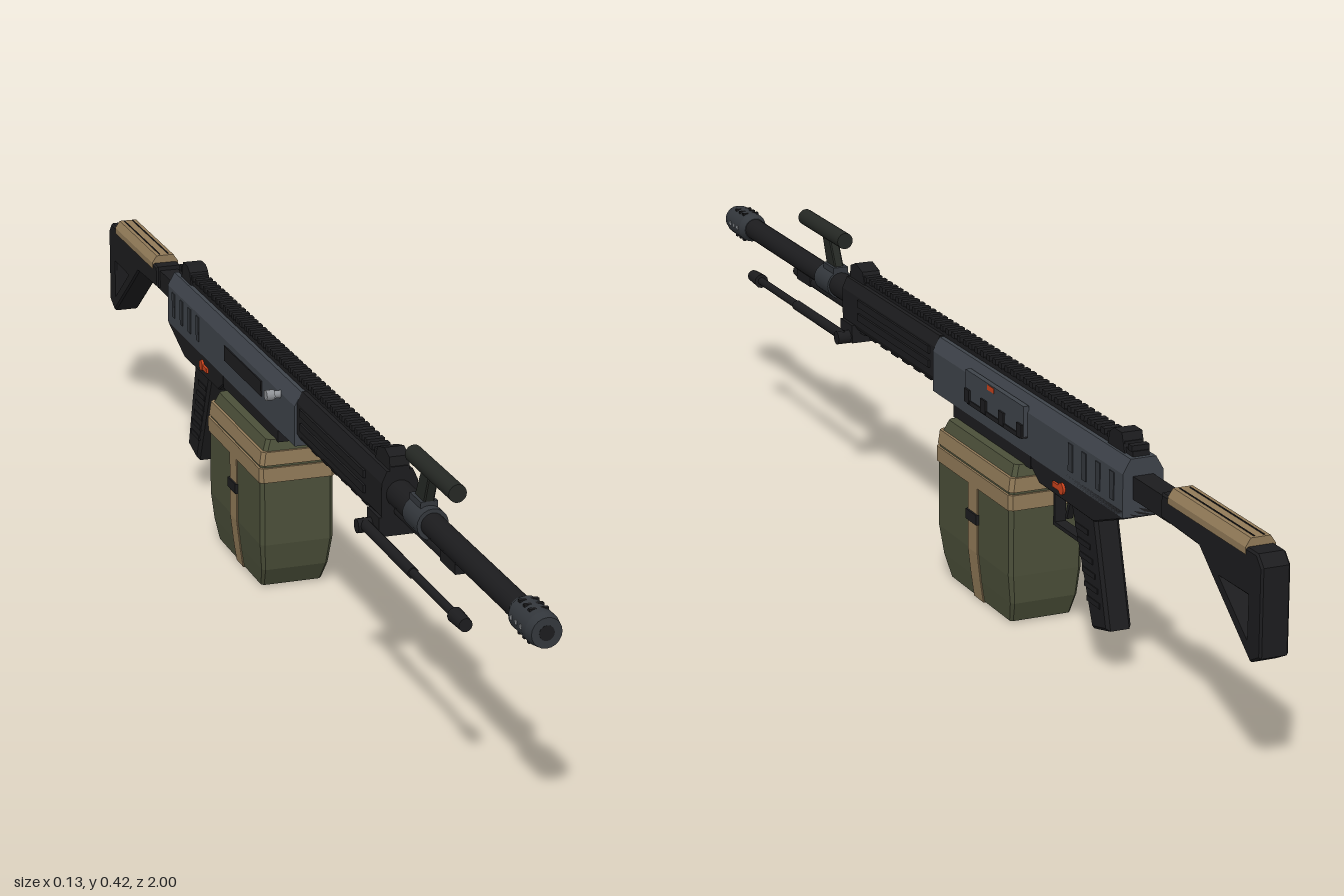
import * as THREE from 'three';

const mat = (name, color) => Object.assign(new THREE.MeshStandardMaterial({ color }), { name });
const V = (a) => new THREE.Vector3(...a);

export function createModel() {
  const black = mat('black polymer', 0x1c1c1e);
  const grey = mat('grey receiver', 0x3e434a);
  const steel = mat('dark steel', 0x33373c);
  const olive = mat('olive fabric', 0x4b4f39);
  const tan = mat('tan webbing', 0x917a58);
  const red = mat('red marking', 0xc8421c);
  const silver = mat('bare metal', 0x8f9296);
  const handleDark = mat('handle green black', 0x252824);

  const model = new THREE.Group();
  model.name = 'beltFedGun';
  const add = (name, geo, m) => {
    const mesh = new THREE.Mesh(geo, m);
    mesh.name = name;
    model.add(mesh);
    return mesh;
  };
  // box given by its limits on each axis
  const box = (name, m, [x0, x1], [y0, y1], [z0, z1]) =>
    add(name, new THREE.BoxGeometry(x1 - x0, y1 - y0, z1 - z0), m)
      .position.set((x0 + x1) / 2, (y0 + y1) / 2, (z0 + z1) / 2);
  // cylinder between two points
  const rod = (name, m, a, b, r0, r1 = r0, seg = 20) => {
    const p = V(a), d = V(b).sub(p);
    const mesh = add(name, new THREE.CylinderGeometry(r1, r0, d.length(), seg), m);
    mesh.position.copy(p).addScaledVector(d, 0.5);
    mesh.quaternion.setFromUnitVectors(new THREE.Vector3(0, 1, 0), d.normalize());
  };
  const shapeOf = (pts) => new THREE.Shape(pts.map(([a, b]) => new THREE.Vector2(a, b)));
  // side profile of (z, y) points, extruded across x
  const side = (name, m, pts, halfWidth, bevel = 0, holes = []) => {
    const s = shapeOf(pts);
    holes.forEach((h) => s.holes.push(shapeOf(h)));
    const depth = 2 * (halfWidth - bevel);
    const g = new THREE.ExtrudeGeometry(s, {
      depth, bevelEnabled: bevel > 0, bevelThickness: bevel, bevelSize: bevel, bevelOffset: -bevel, bevelSegments: 1,
    });
    return add(name, g.translate(0, 0, -depth / 2).rotateY(-Math.PI / 2), m);
  };
  // (x, y) half section mirrored and extruded along z
  const section = (name, m, half, z0, z1) => {
    const pts = [...half, ...half.map(([x, y]) => [-x, y]).reverse()];
    const g = new THREE.ExtrudeGeometry(shapeOf(pts), { depth: z1 - z0, bevelEnabled: false });
    return add(name, g.translate(0, 0, z0), m);
  };
  // stacked chamfered rectangles: [y, half width, front z, back z, corner]
  const loft = (name, m, levels) => {
    const pos = [], idx = [];
    levels.forEach(([y, w, f, b, c]) => {
      [[c - w, f], [w - c, f], [w, f - c], [w, b + c], [w - c, b], [c - w, b], [-w, b + c], [-w, f - c]]
        .forEach(([x, z]) => pos.push(x, y, z));
    });
    const top = (levels.length - 1) * 8;
    for (let k = 0; k < top; k += 8) {
      for (let i = 0; i < 8; i++) {
        const a = k + i, b = k + (i + 1) % 8;
        idx.push(a, b, b + 8, a, b + 8, a + 8);
      }
    }
    for (let i = 1; i < 7; i++) idx.push(0, i + 1, i, top, top + i, top + i + 1);
    let g = new THREE.BufferGeometry();
    g.setAttribute('position', new THREE.Float32BufferAttribute(pos, 3));
    g.setIndex(idx);
    g = g.toNonIndexed();
    g.computeVertexNormals();
    return add(name, g, m);
  };

  // barrel and muzzle
  const Y = 0.322;
  rod('barrel', black, [0, Y, 0.4], [0, Y, 0.93], 0.018);
  rod('muzzleBase', steel, [0, Y, 0.912], [0, Y, 0.925], 0.019, 0.025);
  rod('muzzleBrake', steel, [0, Y, 0.925], [0, Y, 0.985], 0.025);
  rod('muzzleTip', steel, [0, Y, 0.985], [0, Y, 1], 0.025, 0.022);
  rod('bore', black, [0, Y, 0.995], [0, Y, 1.0005], 0.011);
  for (const s of [-1, 1]) {
    for (const z of [0.935, 0.952, 0.969]) {
      rod('muzzlePort', silver, [s * 0.023, Y, z], [s * 0.0255, Y, z], 0.004, 0.004, 8);
      box('muzzleSlot', black, [-0.014, 0.014], [Y + s * 0.0225 - 0.002, Y + s * 0.0225 + 0.002], [z - 0.003, z + 0.003]);
    }
  }
  rod('barrelCollar', steel, [0, Y, 0.515], [0, Y, 0.575], 0.024);
  rod('barrelSleeve', black, [0, Y, 0.44], [0, Y, 0.515], 0.021);
  rod('gasTube', black, [0, 0.296, 0.42], [0, 0.296, 0.66], 0.009, 0.009, 12);
  box('gasBlock', black, [-0.01, 0.01], [0.29, 0.312], [0.63, 0.69]);

  // carrying handle
  side('handlePost', handleDark, [[0.577, 0.395], [0.545, 0.395], [0.518, 0.345], [0.556, 0.342]], 0.008, 0.002);
  box('handleBase', steel, [-0.013, 0.013], [0.335, 0.352], [0.515, 0.56]);
  rod('handleBar', handleDark, [0, 0.402, 0.495], [0, 0.402, 0.67], 0.0135);

  // handguard
  section('handguard', black, [[0.022, 0.28], [0.028, 0.29], [0.028, 0.34], [0.02, 0.358]], 0.06, 0.44);
  for (const s of [-1, 1]) {
    for (const y of [0.302, 0.325]) {
      box('handguardRib', black, [s * 0.029 - 0.0025, s * 0.029 + 0.0025], [y, y + 0.012], [0.08, 0.37]);
    }
  }
  for (let z = 0.1; z < 0.38; z += 0.045) box('underRib', black, [-0.018, 0.018], [0.274, 0.281], [z, z + 0.025]);

  // receiver and top rail
  section('receiver', grey, [[0.032, 0.27], [0.032, 0.335], [0.02, 0.356]], -0.607, 0.06);
  box('topRail', black, [-0.013, 0.013], [0.354, 0.364], [-0.6, 0.44]);
  for (let i = 0; i < 47; i++) {
    const z = -0.598 + i * 0.022;
    box('railTooth', black, [-0.014, 0.014], [0.363, 0.372], [z, z + 0.012]);
  }
  side('frontSight', black, [[0.44, 0.355], [0.435, 0.378], [0.415, 0.386], [0.385, 0.378], [0.375, 0.355]], 0.015);
  side('rearSight', black, [[-0.525, 0.355], [-0.532, 0.376], [-0.545, 0.384], [-0.57, 0.384], [-0.58, 0.355]], 0.016);

  // receiver side details
  box('ejectionCover', grey, [0.03, 0.039], [0.298, 0.345], [-0.29, -0.08]);
  box('coverEdge', black, [0.03, 0.041], [0.293, 0.3], [-0.28, -0.09]);
  for (const z of [-0.28, -0.215, -0.15, -0.09]) box('coverHinge', black, [0.032, 0.042], [0.295, 0.316], [z - 0.009, z + 0.009]);
  box('coverMark', red, [0.034, 0.0395], [0.335, 0.343], [-0.185, -0.16]);
  box('leftPanel', black, [-0.034, -0.03], [0.3, 0.325], [-0.29, -0.1]);
  for (const s of [-1, 1]) {
    for (let i = 0; i < 4; i++) {
      const z = -0.58 + i * 0.045;
      box('receiverGroove', steel, [s * 0.032 - 0.0015, s * 0.032 + 0.0015], [0.288, 0.33], [z, z + 0.014]);
    }
    rod('selectorPivot', red, [s * 0.031, 0.254, -0.412], [s * 0.036, 0.254, -0.412], 0.009, 0.009, 12);
    box('selectorLever', red, [s * 0.0335 - 0.002, s * 0.0335 + 0.002], [0.249, 0.257], [-0.41, -0.382]);
  }
  rod('chargingStem', silver, [-0.03, 0.332, -0.012], [-0.046, 0.332, -0.012], 0.006, 0.006, 12);
  rod('chargingKnob', silver, [-0.042, 0.332, -0.012], [-0.055, 0.332, -0.012], 0.0085, 0.0085, 12);

  // lower receiver, grip and trigger
  side('lowerReceiver', black, [[-0.3, 0.282], [-0.3, 0.255], [-0.33, 0.237], [-0.515, 0.235], [-0.607, 0.268], [-0.607, 0.282]], 0.032, 0.002);
  box('feedMount', black, [-0.032, 0.032], [0.25, 0.272], [-0.3, -0.02]);
  side('grip', black, [[-0.41, 0.24], [-0.487, 0.06], [-0.54, 0.073], [-0.492, 0.24]], 0.02, 0.005);
  for (let i = 0; i < 6; i++) {
    const y = 0.1 + i * 0.02, z = -0.475 + i * 0.0083;
    box('gripRib', black, [-0.0215, 0.0215], [y, y + 0.008], [z - 0.04, z + 0.002]);
  }
  box('guardFront', black, [-0.009, 0.009], [0.172, 0.24], [-0.338, -0.332]);
  box('guardBottom', black, [-0.009, 0.009], [0.17, 0.176], [-0.45, -0.332]);
  side('trigger', black, [[-0.365, 0.24], [-0.372, 0.215], [-0.364, 0.19], [-0.37, 0.19], [-0.38, 0.215], [-0.378, 0.24]], 0.005);

  // stock
  box('stockTube', black, [-0.016, 0.016], [0.296, 0.33], [-0.72, -0.6]);
  side('stock', black,
    [[-0.705, 0.337], [-0.985, 0.338], [-1, 0.322], [-1, 0.194], [-0.972, 0.18], [-0.86, 0.265], [-0.82, 0.296], [-0.705, 0.3]],
    0.022, 0.003, [[[-0.882, 0.272], [-0.962, 0.272], [-0.962, 0.212]]]);
  section('cheekPad', tan, [[0.023, 0.328], [0.023, 0.338], [0.015, 0.35]], -0.955, -0.728);
  for (const x of [-0.0075, 0.0075]) box('cheekGroove', black, [x - 0.001, x + 0.001], [0.349, 0.351], [-0.95, -0.735]);

  // folded bipod
  box('bipodMount', black, [-0.032, 0.032], [0.258, 0.288], [0.39, 0.44]);
  rod('bipodAxle', black, [-0.054, 0.266, 0.405], [0.054, 0.266, 0.405], 0.011, 0.011, 12);
  for (const s of [-1, 1]) {
    const x = s * 0.042;
    rod('bipodLeg', black, [x, 0.268, 0.4], [x, 0.267, 0.79], 0.0065, 0.0065, 12);
    rod('bipodLegSleeve', black, [x, 0.268, 0.4], [x, 0.267, 0.61], 0.0085, 0.0085, 12);
    rod('bipodFoot', black, [x, 0.267, 0.775], [x, 0.267, 0.815], 0.012, 0.01, 12);
  }

  // ammunition bag
  loft('bag', olive, [[0.002, 0.05, -0.05, -0.272, 0.004], [0.035, 0.055, -0.03, -0.286, 0.005],
    [0.08, 0.06, -0.021, -0.29, 0.006], [0.2, 0.06, -0.021, -0.29, 0.006]]);
  loft('bagLowerBand', tan, [[0.185, 0.0625, -0.018, -0.293, 0.006], [0.209, 0.0625, -0.018, -0.293, 0.006]]);
  loft('bagSeam', olive, [[0.205, 0.059, -0.022, -0.289, 0.006], [0.22, 0.059, -0.022, -0.289, 0.006]]);
  loft('bagUpperBand', tan, [[0.213, 0.061, -0.019, -0.292, 0.006], [0.235, 0.058, -0.02, -0.291, 0.006]]);
  loft('bagNeck', olive, [[0.234, 0.054, -0.024, -0.287, 0.006], [0.252, 0.047, -0.03, -0.28, 0.006]]);
  loft('bagStrap', tan, [[0, 0.0515, -0.14, -0.176, 0.001], [0.035, 0.0567, -0.14, -0.176, 0.001],
    [0.08, 0.062, -0.14, -0.176, 0.001], [0.19, 0.062, -0.14, -0.176, 0.001]]);
  box('strapBuckles', black, [-0.065, 0.065], [0.127, 0.143], [-0.178, -0.138]);
  return model;
}
